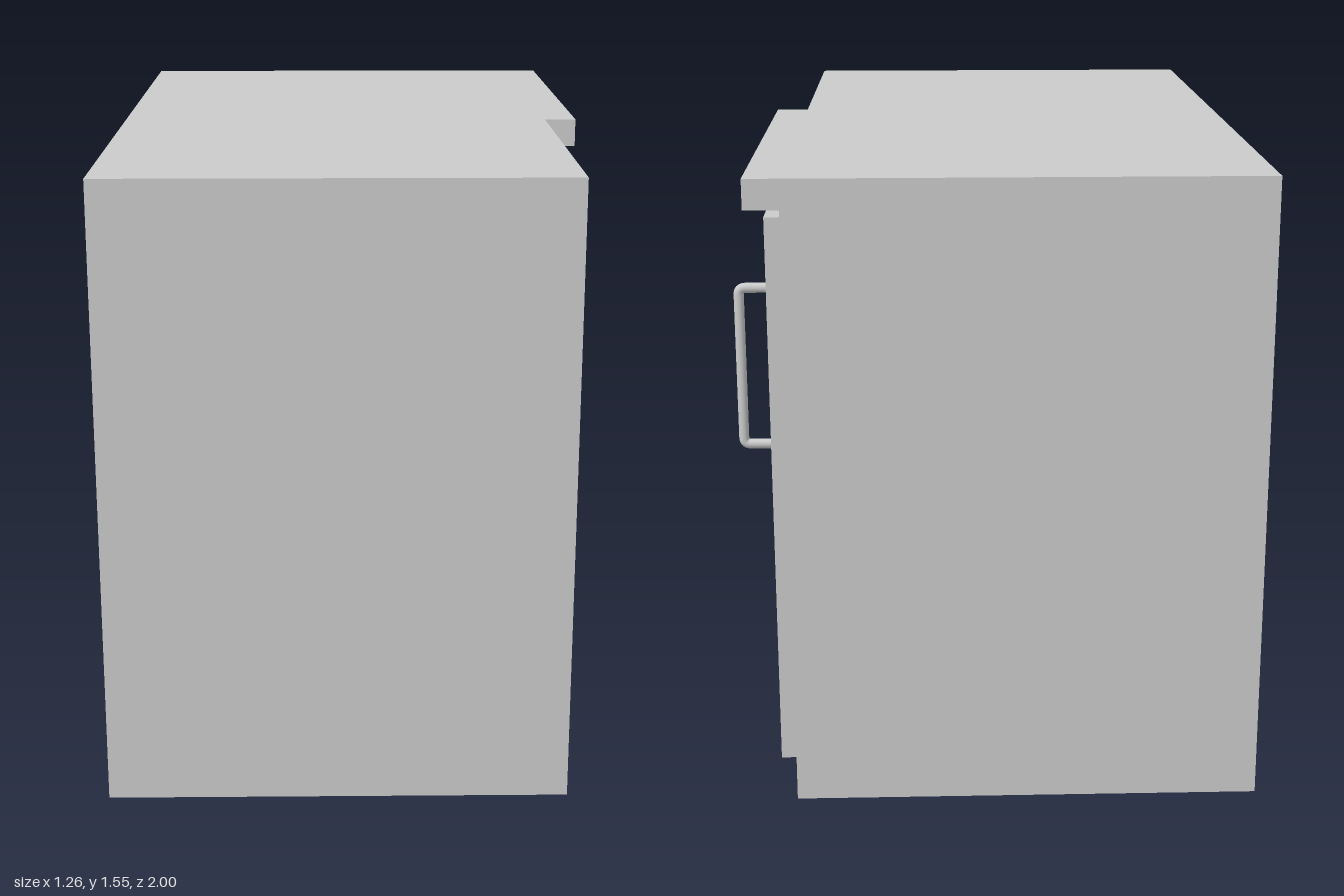
import * as THREE from 'three';

const material = new THREE.MeshStandardMaterial({ color: 0xcccccc });

// Box given by its min and max corners
function block(name, [x0, y0, z0], [x1, y1, z1]) {
  const geometry = new THREE.BoxGeometry(x1 - x0, y1 - y0, z1 - z0);
  geometry.translate((x0 + x1) / 2, (y0 + y1) / 2, (z0 + z1) / 2);
  const mesh = new THREE.Mesh(geometry, material);
  mesh.name = name;
  return mesh;
}

// U-shaped bar handle with tight rounded corners
function barHandle(xDoor, xBar, yLow, yHigh, z, radius, bend) {
  const p = (x, y) => new THREE.Vector3(x, y, z);
  const path = new THREE.CurvePath();
  path.add(new THREE.LineCurve3(p(xDoor, yLow), p(xBar - bend, yLow)));
  path.add(new THREE.QuadraticBezierCurve3(p(xBar - bend, yLow), p(xBar, yLow), p(xBar, yLow + bend)));
  path.add(new THREE.LineCurve3(p(xBar, yLow + bend), p(xBar, yHigh - bend)));
  path.add(new THREE.QuadraticBezierCurve3(p(xBar, yHigh - bend), p(xBar, yHigh), p(xBar - bend, yHigh)));
  path.add(new THREE.LineCurve3(p(xBar - bend, yHigh), p(xDoor, yHigh)));
  const mesh = new THREE.Mesh(new THREE.TubeGeometry(path, 160, radius, 16), material);
  mesh.name = 'handle';
  return mesh;
}

export function createModel() {
  const cabinet = new THREE.Group();
  cabinet.name = 'cabinet';
  cabinet.add(
    block('body', [-0.63, 0, -0.996], [0.503, 1.545, 0.996]),
    block('topLedge', [0.503, 1.473, -0.996], [0.586, 1.545, 0.104]),
    block('door', [0.503, 0.088, -0.948], [0.543, 1.448, -0.013]),
    barHandle(0.54, 0.614, 0.88, 1.264, -0.864, 0.012, 0.016)
  );

  // The whole cabinet leans back very slightly
  cabinet.rotation.x = -0.005;
  cabinet.position.set(0, 0.005, 0.004);

  const model = new THREE.Group();
  model.name = 'cabinetModel';
  model.add(cabinet);
  return model;
}
